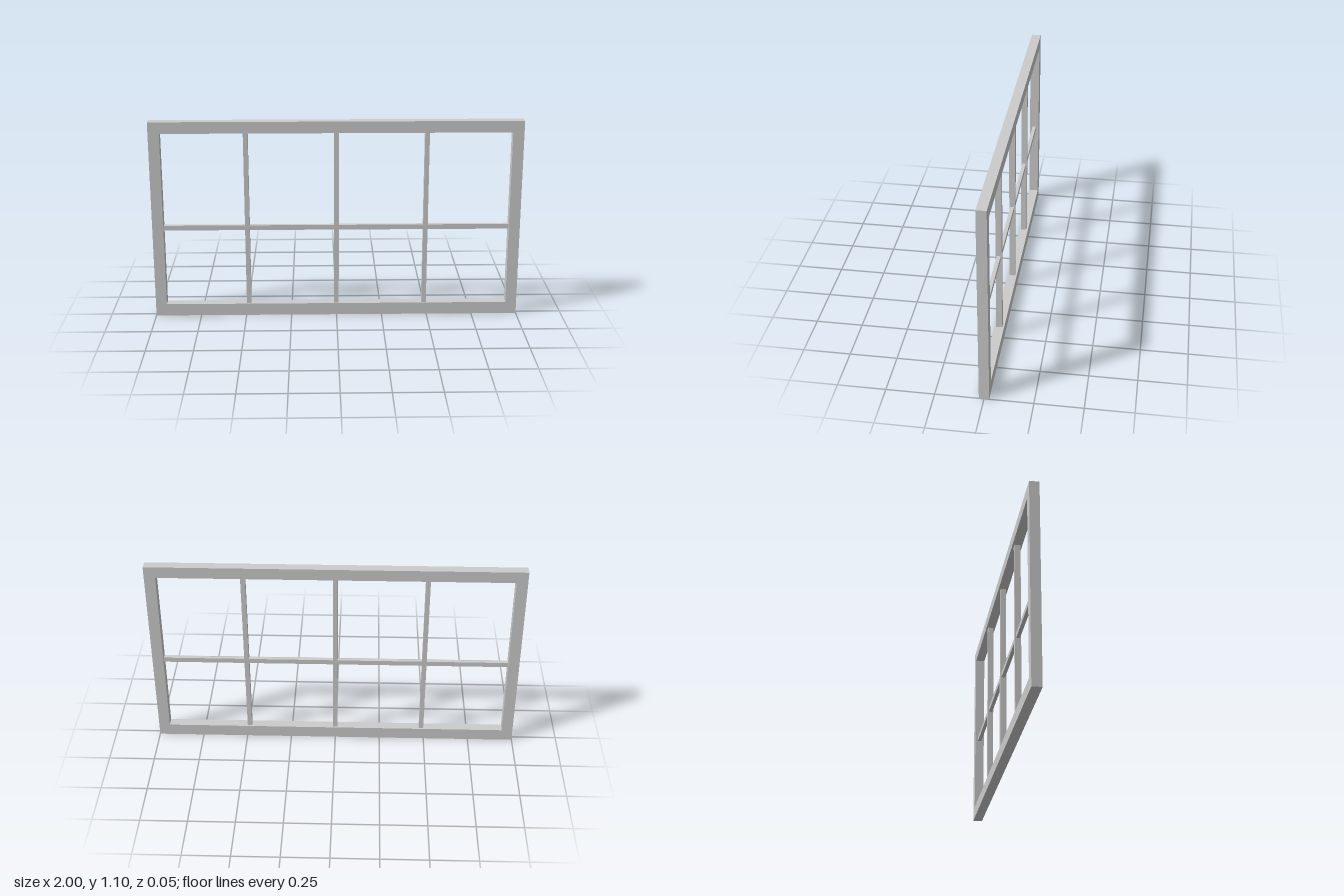
import * as THREE from 'three';

const W = 2, H = 1.1, DEPTH = 0.052;
const IN_X = 0.94, IN_BOTTOM = 0.067, IN_TOP = 1.037;

const material = new THREE.MeshStandardMaterial({ color: 0xcccccc });

function rectangle(PathType, x0, y0, x1, y1) {
  return new PathType([[x0, y0], [x1, y0], [x1, y1], [x0, y1]].map(([x, y]) => new THREE.Vector2(x, y)));
}

export function createModel() {
  const model = new THREE.Group();
  model.name = 'windowFrame';

  const add = (name, geometry, x = 0, y = 0, z = 0) => {
    const mesh = new THREE.Mesh(geometry, material);
    mesh.name = name;
    mesh.position.set(x, y, z);
    model.add(mesh);
  };

  // Outer frame: one slab with a rectangular opening
  const outline = rectangle(THREE.Shape, -W / 2, 0, W / 2, H);
  outline.holes.push(rectangle(THREE.Path, -IN_X, IN_BOTTOM, IN_X, IN_TOP));
  const frame = new THREE.ExtrudeGeometry(outline, { depth: DEPTH, bevelEnabled: false });
  add('outerFrame', frame, 0, 0, -DEPTH / 2);

  // Three upright glazing bars
  const barHeight = IN_TOP - IN_BOTTOM;
  ['rightUprightBar', 'middleUprightBar', 'leftUprightBar'].forEach((name, i) => {
    add(name, new THREE.BoxGeometry(0.025, barHeight, 0.032), (i - 1) * 0.485, IN_BOTTOM + barHeight / 2);
  });

  // Thinner crossbar passing through the uprights
  add('crossbar', new THREE.BoxGeometry(IN_X * 2, 0.027, 0.02), 0, 0.506);

  return model;
}
